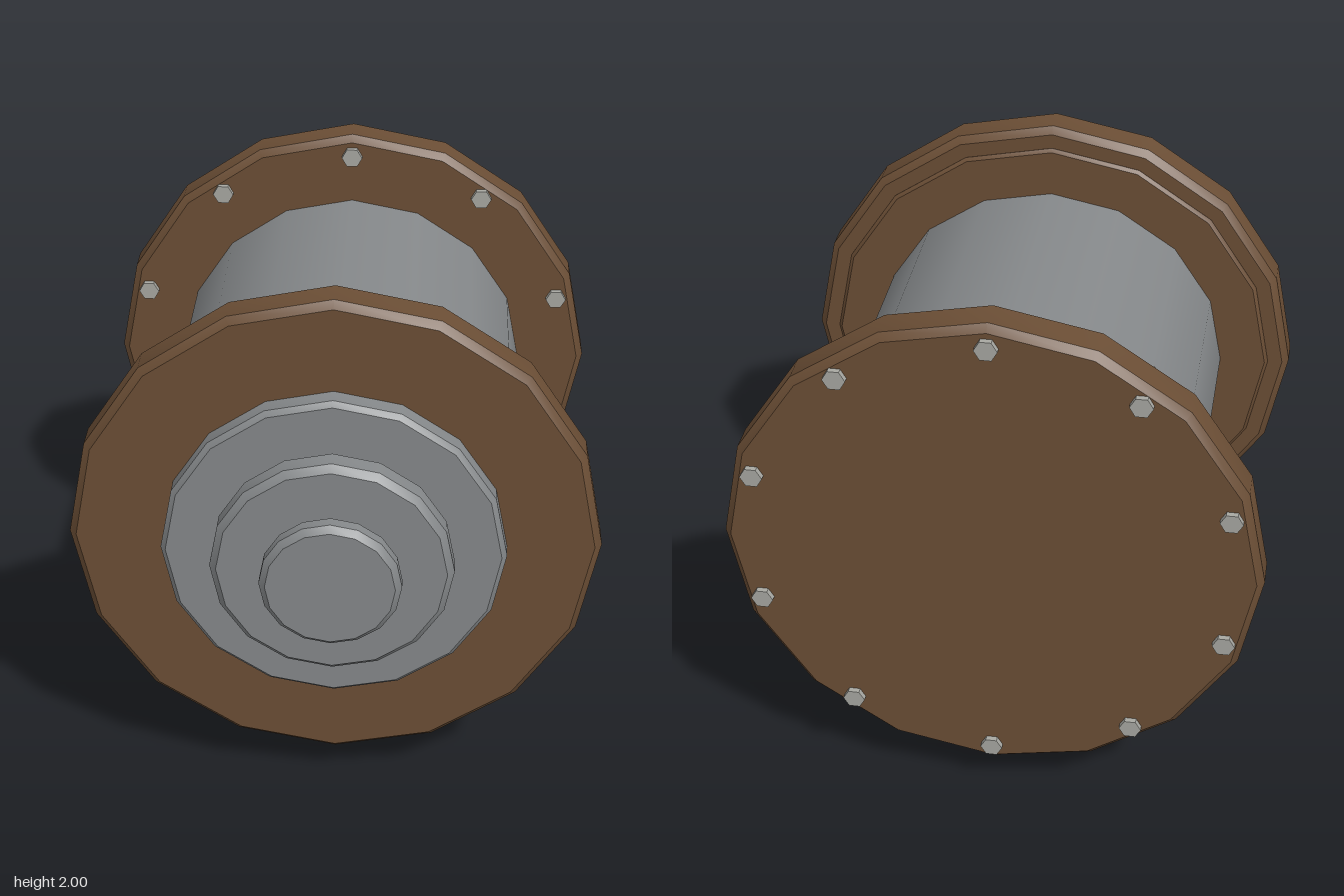
import * as THREE from 'three';
import { toCreasedNormals } from 'three/addons/utils/BufferGeometryUtils.js';

const AXIS_Y = 1.07; // height of the drum's axis

export function createModel() {
  const model = new THREE.Group();
  model.name = 'flangedDrum';

  const material = (name, color, flatShading = false) => {
    const m = new THREE.MeshStandardMaterial({ color, flatShading });
    m.name = name;
    return m;
  };
  const brown = material('rustBrown', 0x6b4e35);
  const steel = material('steelGrey', 0x85888a);
  const dark = material('darkIron', 0x55545a, true);
  const pale = material('paleBolt', 0xa8a8a2, true);

  const add = (parent, name, geometry, mat, x, y, z) => {
    const mesh = new THREE.Mesh(geometry, mat);
    mesh.name = name;
    mesh.position.set(x, y, z);
    parent.add(mesh);
    return mesh;
  };

  // Sixteen-sided disc along z with bevelled rims
  const disc = (name, radius, zBack, zFront, bevel, mat) => {
    const profile = [
      [0, zBack], [radius - bevel, zBack], [radius, zBack + bevel],
      [radius, zFront - bevel], [radius - bevel, zFront], [0, zFront],
    ].map(([r, z]) => new THREE.Vector2(r, z));
    const geometry = new THREE.LatheGeometry(profile, 16).rotateX(Math.PI / 2);
    return add(model, name, toCreasedNormals(geometry, 0.5), mat, 0, AXIS_Y, 0);
  };

  // Main drum
  const drum = new THREE.CylinderGeometry(0.667, 0.667, 1.3, 16).rotateX(Math.PI / 2);
  add(model, 'drum', drum, steel, 0, AXIS_Y, -0.14);

  // Flanges, with a raised pad behind the front one
  disc('frontFlange', 0.93, 0.478, 0.63, 0.025, brown);
  disc('frontFlangePad', 0.85, 0.465, 0.52, 0.012, brown);
  disc('backFlange', 0.93, -0.905, -0.75, 0.025, brown);

  // Stepped front hub
  disc('hubBase', 0.6, 0.6, 0.71, 0.018, steel);
  disc('hubStep', 0.42, 0.71, 0.822, 0.024, steel);
  disc('hubCap', 0.243, 0.835, 0.92, 0.022, steel);

  // Ten hexagonal bolts through the back flange
  const bolts = new THREE.Group();
  bolts.name = 'bolts';
  model.add(bolts);
  const boltGeometry = new THREE.CylinderGeometry(0.039, 0.039, 0.197, 6)
    .rotateY(Math.PI / 6).rotateX(Math.PI / 2);
  for (let i = 0; i < 10; i++) {
    const a = (i / 10) * Math.PI * 2;
    add(bolts, 'bolt', boltGeometry, pale,
      0.85 * Math.sin(a), AXIS_Y + 0.85 * Math.cos(a), -0.8275);
  }

  // Octagonal outlet pipe under the drum
  add(model, 'outletPipe', new THREE.CylinderGeometry(0.155, 0.155, 0.6, 8), dark, 0, 0.3, -0.2);

  return model;
}
